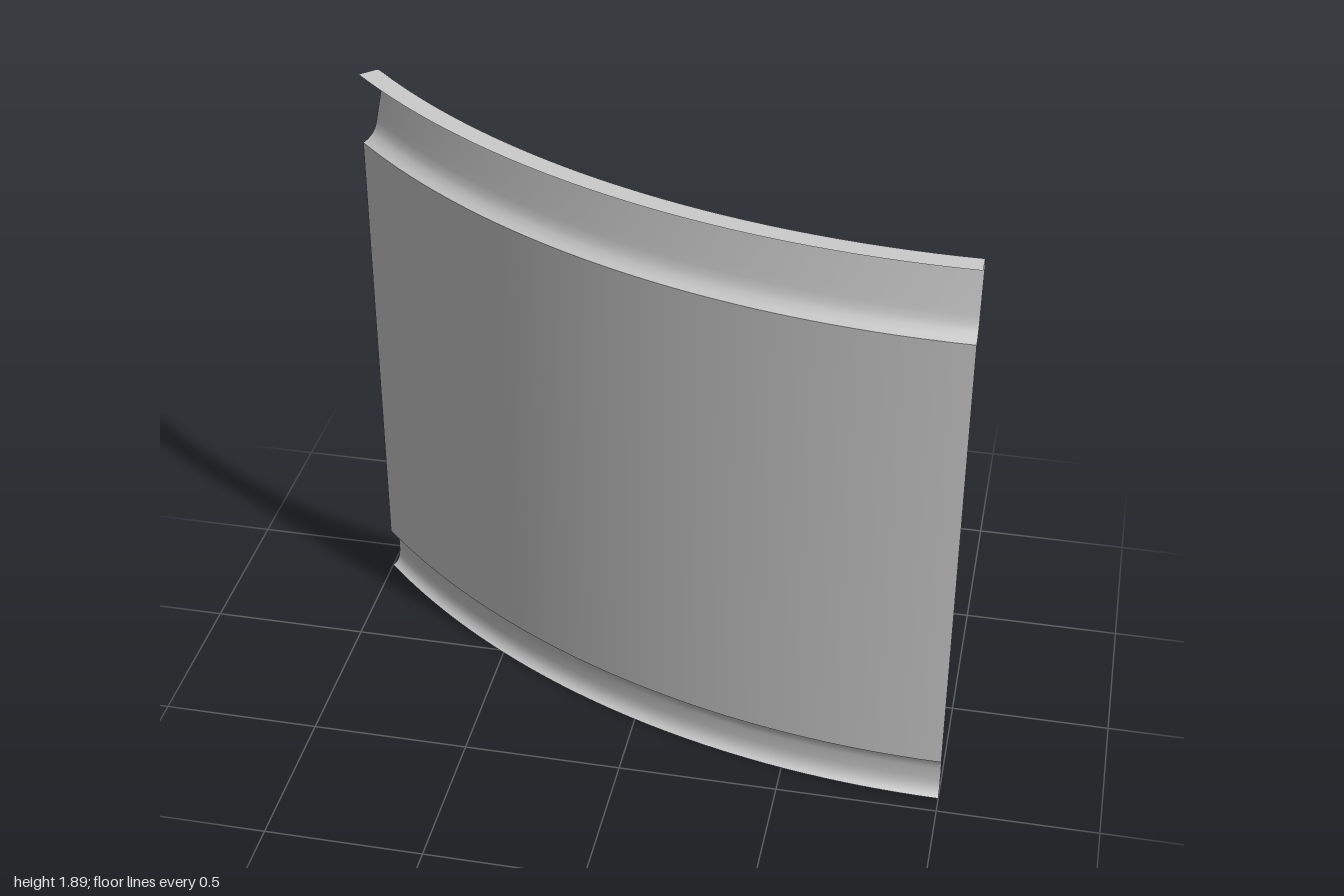
import * as THREE from 'three';

const RADIUS = 2.828;      // outer radius of the curved panel
const ARC = Math.PI / 4;   // sweep of the panel

export function createModel() {
  const group = new THREE.Group();
  const material = new THREE.MeshStandardMaterial({ color: 0xcccccc, side: THREE.DoubleSide });

  // Sweeps a profile of [inward depth, height] points around the panel's arc
  function sweep(name, profile) {
    const points = profile.map(([depth, y]) => new THREE.Vector2(RADIUS - depth, y));
    const mesh = new THREE.Mesh(new THREE.LatheGeometry(points, 32, -ARC, ARC), material);
    mesh.position.set(1, 0, 0.442 - RADIUS);
    mesh.name = name;
    group.add(mesh);
  }

  // Shallow rounded groove along the foot
  sweep('bottomGroove', [
    [0, 0], [0.01, 0.006], [0.02, 0.018], [0.026, 0.034], [0.029, 0.055], [0.029, 0.095],
    [0.026, 0.115], [0.02, 0.131], [0.01, 0.143], [0, 0.148],
  ]);

  // Plain curved sheet
  sweep('panel', [[0, 0.148], [0, 1.652]]);

  // Recessed, leaning band above the sheet, rolled over at its upper edge
  sweep('topBand', [
    [0, 1.652], [0.018, 1.661], [0.034, 1.675], [0.045, 1.692], [0.052, 1.715], [0.057, 1.74],
    [0.084, 1.856], [0.084, 1.867], [0.079, 1.878], [0.07, 1.885], [0.06, 1.887],
  ]);

  // Flat rim returning to the face of the sheet
  sweep('topRim', [[0.06, 1.887], [0, 1.887]]);

  return group;
}
